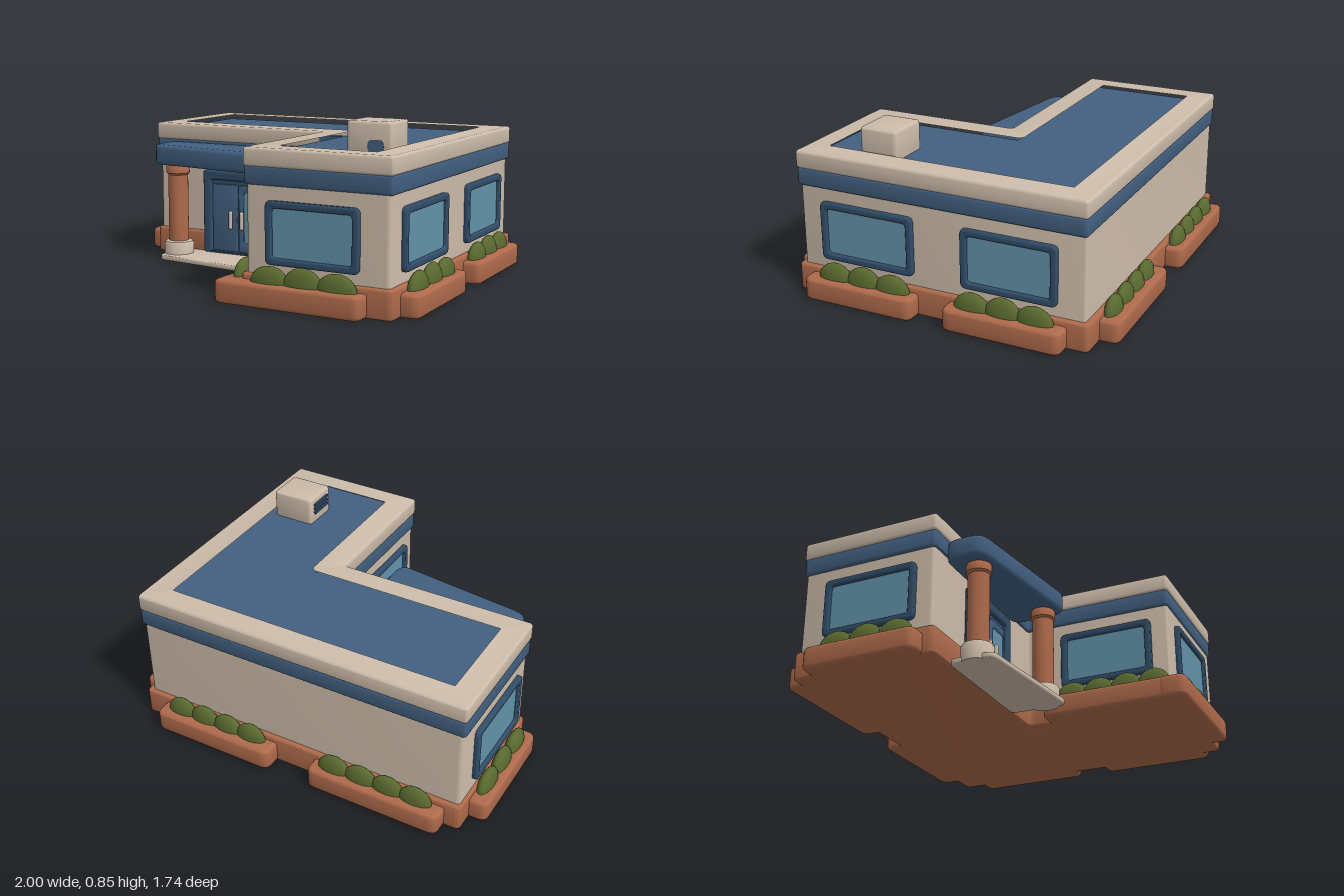
import * as THREE from 'three';
import { toCreasedNormals } from 'three/addons/utils/BufferGeometryUtils.js';

const mat = (name, color) => {
  const m = new THREE.MeshStandardMaterial({ color });
  m.name = name;
  return m;
};

// closed outline with rounded corners
function outline(points, r, Type = THREE.Shape) {
  const s = new Type();
  const P = points.map(p => new THREE.Vector2(p[0], p[1]));
  P.forEach((p, i) => {
    const a = P[(i + P.length - 1) % P.length], b = P[(i + 1) % P.length];
    const into = p.clone().add(a.clone().sub(p).setLength(Math.min(r, p.distanceTo(a) / 2)));
    const out = p.clone().add(b.clone().sub(p).setLength(Math.min(r, p.distanceTo(b) / 2)));
    if (i) s.lineTo(into.x, into.y); else s.moveTo(into.x, into.y);
    s.quadraticCurveTo(p.x, p.y, out.x, out.y);
  });
  s.closePath();
  return s;
}
const rect = (x0, x1, y0, y1) => [[x0, y0], [x1, y0], [x1, y1], [x0, y1]];

// bevelled extrusion along +z, from z = 0 to depth
function extrude(points, depth, r, bevel, hole, holeR = r) {
  const s = outline(points, r);
  if (hole) s.holes.push(outline(hole, holeR, THREE.Path));
  const g = new THREE.ExtrudeGeometry(s, {
    depth: depth - 2 * bevel, curveSegments: 5, bevelEnabled: bevel > 0,
    bevelSize: bevel, bevelThickness: bevel, bevelOffset: -bevel, bevelSegments: 3,
  });
  g.translate(0, 0, bevel);
  return toCreasedNormals(g, 0.7);
}

// horizontal slab from plan points (x, z)
function slab(points, y0, y1, r, bevel, hole) {
  const flip = pts => pts.map(([x, z]) => [x, -z]);
  const g = extrude(flip(points), y1 - y0, r, bevel, hole && flip(hole));
  return g.rotateX(-Math.PI / 2).translate(0, y0, 0);
}

// L-shaped plan: back wing plus a right wing running forward
const plan = (x0, x1, z0, z1, xi, zi) => [[x0, z0], [x1, z0], [x1, z1], [xi, z1], [xi, zi], [x0, zi]];

export function createModel() {
  const cream = mat('cream plaster', 0xcdbcaa), blue = mat('blue roof', 0x426080);
  const dark = mat('dark blue frame', 0x314d69), glass = mat('glass', 0x6292a8);
  const brick = mat('terracotta', 0xae6a4b), green = mat('leaf green', 0x59692f);
  const model = new THREE.Group();
  model.name = 'building';
  const add = (name, geo, material, parent = model) => {
    const m = new THREE.Mesh(geo, material);
    m.name = name;
    parent.add(m);
    return m;
  };

  // main body
  add('base', slab(plan(-0.91, 0.91, -0.775, 0.785, 0.13, -0.01), 0, 0.14, 0.03, 0.012), brick);
  add('walls', slab(plan(-0.895, 0.885, -0.75, 0.76, 0.15, -0.03), 0.1, 0.6, 0.02, 0), cream);
  add('fascia', slab(plan(-0.908, 0.9, -0.757, 0.768, 0.138, -0.02), 0.555, 0.645, 0.02, 0.01), blue);
  add('parapet', slab(plan(-0.912, 0.902, -0.76, 0.772, 0.134, -0.016), 0.64, 0.73, 0.02, 0.014,
    plan(-0.805, 0.785, -0.65, 0.67, 0.255, -0.125)), cream);
  add('roofDeck', slab(plan(-0.84, 0.82, -0.69, 0.7, 0.22, -0.09), 0.62, 0.7, 0.01, 0), blue);

  // windows: face +z, then turned onto their wall
  function addWindow(x, z, turn, w) {
    const g = new THREE.Group();
    g.name = 'window';
    g.position.set(x, 0.34, z);
    g.rotation.y = turn;
    const a = w / 2, b = 0.15;
    add('windowFrame', extrude(rect(-a, a, -b, b), 0.03, 0.03, 0.008,
      rect(-a + 0.034, a - 0.034, -b + 0.034, b - 0.034), 0.02), dark, g).position.z = -0.006;
    add('windowPane', extrude(rect(-a + 0.03, a - 0.03, -b + 0.03, b - 0.03), 0.008, 0.02, 0), glass, g);
    model.add(g);
  }
  addWindow(0.5, 0.76, 0, 0.48);
  addWindow(0.885, 0.385, Math.PI / 2, 0.51);
  addWindow(0.885, -0.37, Math.PI / 2, 0.49);
  addWindow(-0.895, -0.37, -Math.PI / 2, 0.5);
  addWindow(0.15, 0.42, -Math.PI / 2, 0.5);

  // planters with a row of shrubs: plan box, shrub row ends, count
  const planters = [
    [[-0.83, -0.12, -0.865, -0.73], [-0.76, -0.17], 'x', -0.795, 4],
    [[0.1, 0.78, -0.87, -0.73], [0.17, 0.73], 'x', -0.795, 4],
    [[0.025, 0.785, 0.72, 0.868], [0.21, 0.73], 'x', 0.8, 3],
    [[-1, -0.86, -0.67, -0.07], [-0.6, -0.12], 'z', -0.935, 3],
    [[0.86, 1, -0.67, -0.065], [-0.6, -0.12], 'z', 0.93, 3],
    [[0.86, 1, 0.1, 0.7], [0.15, 0.63], 'z', 0.93, 3],
    [[0.03, 0.2, 0.1, 0.84], [0.17, 0.76], 'z', 0.097, 4],
  ];
  for (const [box, [from, to], axis, across, count] of planters) {
    add('planter', slab(rect(...box), 0, 0.112, 0.045, 0.018), brick);
    const step = (to - from) / count;
    for (let i = 0; i < count; i++) {
      const along = from + step * (i + 0.5);
      const s = add('shrub', new THREE.SphereGeometry(1, 18, 12), green);
      const mid = count === 3 && i === 1 ? 0.094 : 0.086;
      if (axis === 'x') {
        s.scale.set(step * 0.6, mid, 0.038);
        s.position.set(along, 0.105, across);
      } else {
        s.scale.set(0.038, mid, step * 0.6);
        s.position.set(across, 0.105, along);
      }
    }
  }

  // porch: skewed step and canopy carried by two columns
  add('porchStep', slab([[-0.75, -0.02], [-0.07, -0.02], [-0.06, 0.28], [-0.75, 0.21]], 0.003, 0.03, 0.04, 0.006), cream);
  add('canopy', slab([[-0.81, -0.03], [-0.03, -0.03], [-0.035, 0.28], [-0.81, 0.175]], 0.52, 0.63, 0.07, 0.022), blue);
  for (const [x, z] of [[-0.69, 0.1], [-0.11, 0.175]]) {
    const col = new THREE.Group();
    col.name = 'column';
    col.position.set(x, 0, z);
    const lathe = pts => toCreasedNormals(
      new THREE.LatheGeometry(pts.map(p => new THREE.Vector2(...p)), 28), 0.7);
    add('columnShaft', lathe([[0.054, 0.08], [0.054, 0.465], [0.063, 0.475], [0.063, 0.515], [0.056, 0.525], [0, 0.525]]), brick, col);
    add('columnFoot', lathe([[0, 0.003], [0.08, 0.003], [0.08, 0.085], [0.074, 0.097], [0.062, 0.102], [0, 0.102]]), cream, col);
    model.add(col);
  }

  // double door
  const door = new THREE.Group();
  door.name = 'door';
  door.position.set(-0.37, 0, -0.03);
  model.add(door);
  add('doorFrame', extrude(rect(-0.215, 0.215, 0.025, 0.487), 0.045, 0.02, 0.01,
    rect(-0.165, 0.165, 0.03, 0.435), 0.01), dark, door);
  add('doorBack', extrude(rect(-0.18, 0.18, 0.03, 0.45), 0.022, 0.005, 0), dark, door);
  for (const s of [-1, 1]) {
    const c = s * 0.083;
    add('doorLeaf', extrude(rect(c - 0.079, c + 0.079, 0.04, 0.41), 0.032, 0.01, 0.006,
      rect(s * 0.095 - 0.058, s * 0.095 + 0.058, 0.095, 0.37), 0.012), blue, door);
    add('doorPane', extrude(rect(s * 0.095 - 0.06, s * 0.095 + 0.06, 0.093, 0.372), 0.006, 0.01, 0), glass, door)
      .position.z = 0.02;
    const handle = add('doorHandle', new THREE.CapsuleGeometry(0.011, 0.08, 4, 10), cream, door);
    handle.position.set(s * 0.035, 0.22, 0.05);
  }

  // rooftop unit with side louvres and a small round-topped hatch
  add('roofUnit', slab(rect(0.53, 0.76, 0.285, 0.487), 0.69, 0.847, 0.02, 0.014), cream);
  for (let i = 0; i < 3; i++) {
    const l = add('louvre', new THREE.BoxGeometry(0.016, 0.014, 0.13), dark);
    l.position.set(0.528, 0.757 + i * 0.024, 0.386);
  }
  add('hatch', extrude([[0.64, 0.7], [0.722, 0.7], [0.722, 0.762], [0.64, 0.762]], 0.008, 0.028, 0), blue)
    .position.z = 0.483;

  return model;
}
